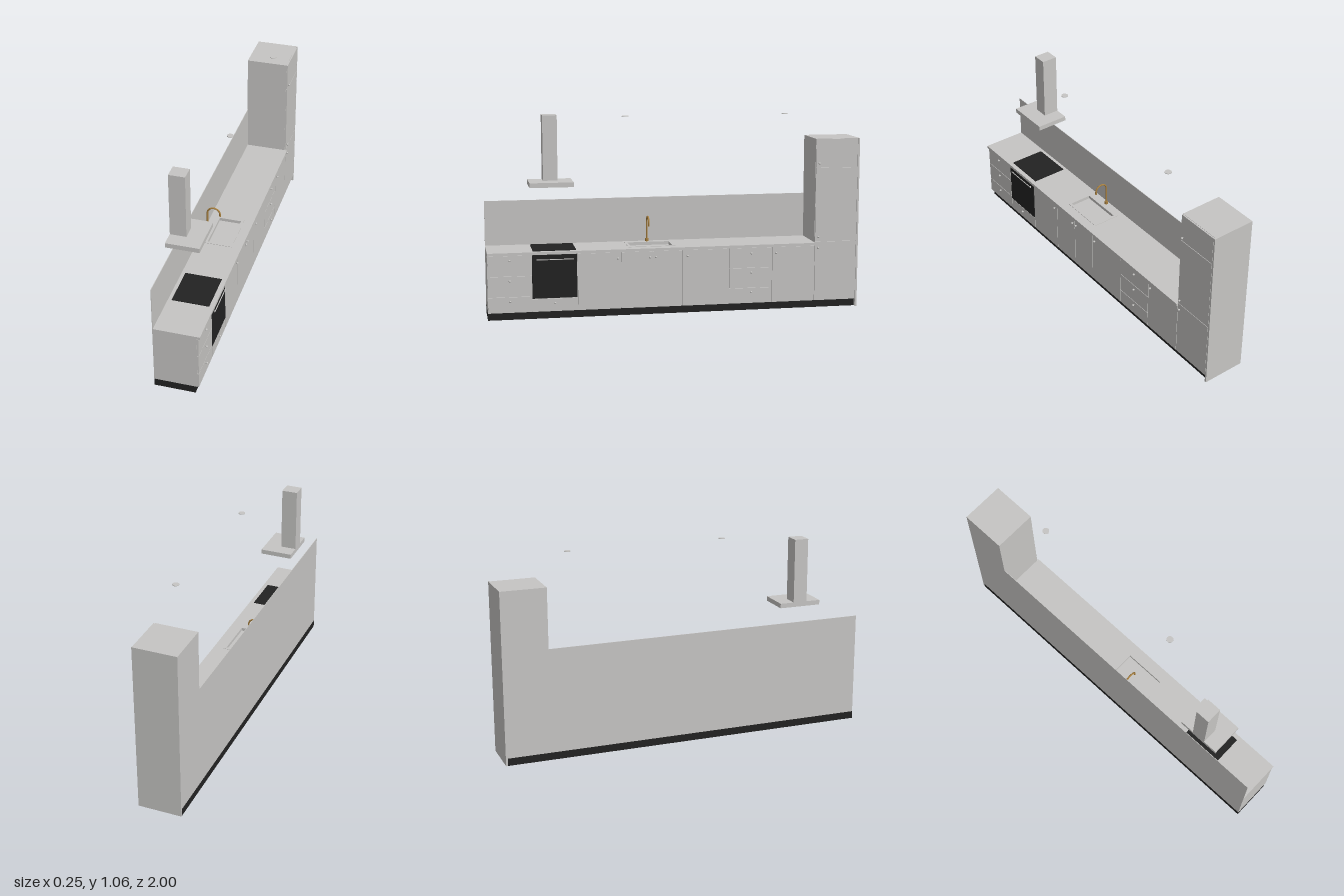
import * as THREE from 'three';

export function createModel() {
  const root = new THREE.Group();
  const mat = (name, color, side = THREE.FrontSide) => {
    const m = new THREE.MeshStandardMaterial({ color, side });
    m.name = name;
    return m;
  };
  const grey = mat('cabinet grey', 0xc6c5c3);
  const black = mat('black', 0x222222);
  const brass = mat('brass', 0xa8803f);

  const add = (name, geo, material, x = 0, y = 0, z = 0, parent = root) => {
    const m = new THREE.Mesh(geo, material);
    m.name = name;
    m.position.set(x, y, z);
    parent.add(m);
    return m;
  };
  // box given by its limits on each axis
  const box = (name, material, x0, x1, y0, y1, z0, z1) =>
    add(name, new THREE.BoxGeometry(x1 - x0, y1 - y0, z1 - z0), material,
      (x0 + x1) / 2, (y0 + y1) / 2, (z0 + z1) / 2);
  // flat slab with a rectangular hole, lying at height y
  const slab = (name, material, [x0, x1, z0, z1], [a0, a1, b0, b1], y, depth) => {
    const rect = (Type, l, r, n, f) => new Type([
      new THREE.Vector2(l, -f), new THREE.Vector2(r, -f),
      new THREE.Vector2(r, -n), new THREE.Vector2(l, -n)]);
    const shape = rect(THREE.Shape, x0, x1, z0, z1);
    shape.holes.push(rect(THREE.Path, a0, a1, b0, b1));
    const geo = new THREE.ExtrudeGeometry(shape, { depth, bevelEnabled: false });
    geo.rotateX(-Math.PI / 2);
    return add(name, geo, material, 0, y, 0);
  };

  const BACK = -0.125, CASE = 0.1, FACE = 0.108, TALL = -0.757, BASE = 0.04;

  // carcasses, plinth and end panel
  box('plinth', black, BACK, 0.09, 0, BASE, -0.99, 1);
  box('baseCarcass', grey, BACK, CASE, BASE, 0.345, TALL, 1);
  box('tallCarcass', grey, BACK, CASE, BASE, 0.922, -0.99, TALL);
  box('endPanel', grey, BACK, FACE, 0, 0.922, -1, -0.99);
  box('backsplash', grey, BACK, -0.122, 0.36, 0.6, TALL, 1);

  // worktop with the sink cut out, and the sink rim
  const bowl = [-0.07, 0.05, 0.015, 0.24];
  slab('worktop', grey, [BACK, 0.117, TALL, 1], bowl, 0.345, 0.015);
  slab('sinkRim', grey, [-0.085, 0.065, 0, 0.255], bowl, 0.36, 0.002);

  // door and drawer fronts, with narrow gaps
  const g = 0.0015;
  const front = (name, z0, z1, y0, y1) =>
    box(name, grey, CASE, FACE, y0 + g, y1 - g, z0 + g, z1 - g);
  for (const [z0, z1] of [[0.77, 1], [-0.52, -0.283]]) {
    const [lo, hi] = [Math.min(z0, z1), Math.max(z0, z1)];
    const levels = [BASE, 0.125, 0.235, 0.344];
    for (let i = 0; i < 3; i++) front('drawerFront', lo, hi, levels[i], levels[i + 1]);
  }
  const seams = [0.53, 0.3, 0.131, -0.03, -0.283];
  for (let i = 0; i < 4; i++) front('baseDoor', seams[i + 1], seams[i], BASE, 0.344);
  front('baseDoor', TALL, -0.52, BASE, 0.344);
  const tall = [BASE, 0.365, 0.767, 0.922];
  for (let i = 0; i < 3; i++) front('tallDoor', -0.99, TALL, tall[i], tall[i + 1]);

  // oven with drawer below and bar handle
  front('ovenDrawer', 0.53, 0.77, BASE, 0.11);
  box('oven', black, CASE, 0.109, 0.112, 0.342, 0.533, 0.768);
  const bar = new THREE.CylinderGeometry(0.0025, 0.0025, 0.195, 10).rotateX(Math.PI / 2);
  add('ovenHandle', bar, grey, 0.116, 0.318, 0.648);
  for (const z of [0.56, 0.736]) box('ovenHandlePost', grey, 0.109, 0.116, 0.3165, 0.3195, z - 0.002, z + 0.002);

  // hob
  box('hob', black, -0.102, 0.092, 0.36, 0.3635, 0.535, 0.762);

  // round knobs
  const knobGeo = new THREE.SphereGeometry(0.0058, 14, 10);
  const stemGeo = new THREE.CylinderGeometry(0.0025, 0.0025, 0.01, 8).rotateZ(Math.PI / 2);
  const knobs = [
    [0.318, 0.885], [0.21, 0.885], [0.102, 0.885], [0.086, 0.65],
    [0.312, 0.318], [0.312, 0.147], [0.312, 0.115], [0.312, -0.056],
    [0.314, -0.404], [0.21, -0.404], [0.102, -0.404], [0.312, -0.54],
    [0.332, -0.774], [0.392, -0.774], [0.79, -0.774]];
  for (const [y, z] of knobs) {
    const knob = new THREE.Group();
    knob.name = 'knob';
    knob.position.set(FACE, y, z);
    add('knobHead', knobGeo, grey, 0.007, 0, 0, knob);
    add('knobStem', stemGeo, grey, 0.002, 0, 0, knob);
    root.add(knob);
  }

  // swan-neck tap
  const tapZ = 0.128, r = 0.035;
  const path = new THREE.CurvePath();
  const arc = [];
  for (let i = 0; i <= 12; i++) {
    const a = Math.PI * (1 - i / 12);
    arc.push(new THREE.Vector3(-0.07 + r * Math.cos(a), 0.465 + r * Math.sin(a), tapZ));
  }
  path.add(new THREE.LineCurve3(new THREE.Vector3(-0.105, 0.36, tapZ), arc[0]));
  path.add(new THREE.CatmullRomCurve3(arc));
  path.add(new THREE.LineCurve3(arc[12], new THREE.Vector3(-0.035, 0.453, tapZ)));
  add('tapSpout', new THREE.TubeGeometry(path, 64, 0.0045, 12), brass);
  add('tapNozzle', new THREE.CylinderGeometry(0.0045, 0.0045, 0.004, 12), brass, -0.035, 0.454, tapZ);
  add('tapBase', new THREE.CylinderGeometry(0.009, 0.009, 0.016, 20), brass, -0.105, 0.368, tapZ);

  // extractor hood
  box('hoodCanopy', grey, BACK, 0.05, 0.687, 0.712, 0.538, 0.77);
  box('hoodDuct', grey, BACK, -0.04, 0.712, 1.057, 0.615, 0.692);

  // ceiling spotlights
  for (const z of [-0.592, 0.268])
    add('spotlight', new THREE.CylinderGeometry(0.0175, 0.0175, 0.003, 28), grey, 0.0625, 1.0555, z);

  return root;
}
